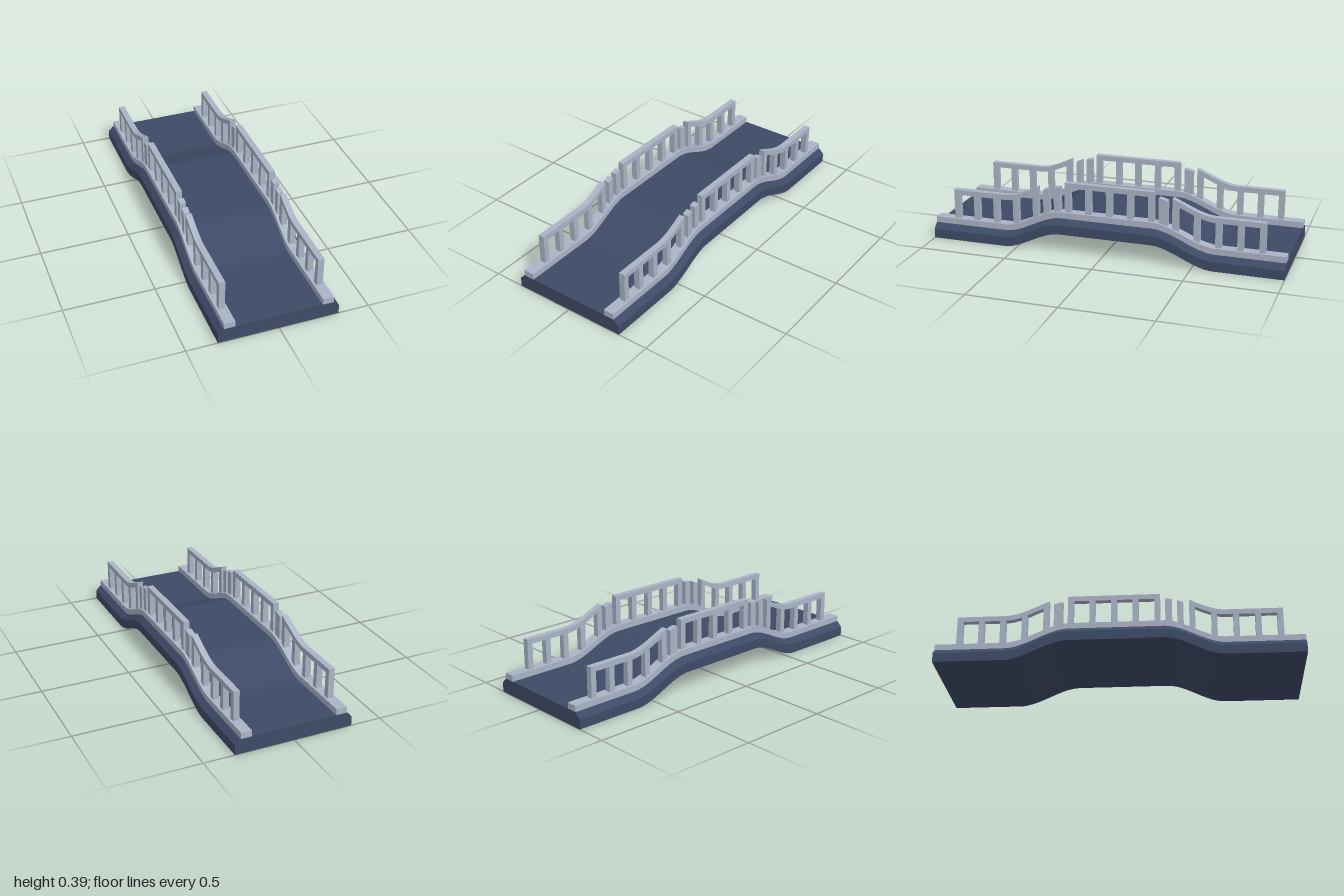
import * as THREE from 'three';
import { toCreasedNormals } from 'three/addons/utils/BufferGeometryUtils.js';

const RISE = 0.107;

// Height of the arch along the bridge: flat ends, eased ramps, flat crown.
function archHeight(z) {
  return RISE * (z > 0
    ? 1 - THREE.MathUtils.smoothstep(z, 0.245, 0.575)
    : THREE.MathUtils.smoothstep(z, -0.62, -0.27));
}

// Extrudes a cross-section (x, y) from z0 to z1 and lifts it along the arch.
function sweep(points, z0, z1) {
  const shape = new THREE.Shape(points.map(([x, y]) => new THREE.Vector2(x, y)));
  const steps = Math.max(2, Math.ceil((z1 - z0) * 40));
  const geometry = new THREE.ExtrudeGeometry(shape, { depth: z1 - z0, steps, bevelEnabled: false });
  geometry.translate(0, 0, z0);
  const pos = geometry.attributes.position;
  for (let i = 0; i < pos.count; i++) pos.setY(i, pos.getY(i) + archHeight(pos.getZ(i)));
  return toCreasedNormals(geometry, 0.5);
}

const rect = (x0, x1, y0, y1) => [[x0, y0], [x1, y0], [x1, y1], [x0, y1]];

export function createModel() {
  const deckBlue = new THREE.MeshStandardMaterial({ color: 0x3e4a66 });
  deckBlue.name = 'deck blue';
  const railGrey = new THREE.MeshStandardMaterial({ color: 0xaab4c6 });
  railGrey.name = 'rail grey';

  const bridge = new THREE.Group();
  bridge.name = 'bridge';
  const add = (parent, name, geometry, material) => {
    const mesh = new THREE.Mesh(geometry, material);
    mesh.name = name;
    parent.add(mesh);
  };

  // Deck with chamfered upper edges
  add(bridge, 'deck', sweep([
    [-0.33, 0], [0.33, 0], [0.33, 0.053], [0.3, 0.083], [-0.3, 0.083], [-0.33, 0.053],
  ], -1, 1), deckBlue);

  for (const side of [1, -1]) {
    const railing = new THREE.Group();
    railing.name = side > 0 ? 'leftRailing' : 'rightRailing';
    bridge.add(railing);
    const section = (inner, outer, y0, y1) =>
      side > 0 ? rect(inner, outer, y0, y1) : rect(-outer, -inner, y0, y1);
    const post = (z0, z1) =>
      add(railing, 'post', sweep(section(0.251, 0.285, 0.116, 0.257), z0, z1), railGrey);

    // Kerb running the whole length
    add(railing, 'kerb', sweep(section(0.238, 0.298, 0.083, 0.117), -1, 1), railGrey);

    // Three fence panels: a handrail over five evenly spaced posts
    for (const start of [-0.886, -0.279, 0.383]) {
      add(railing, 'handrail', sweep(section(0.251, 0.285, 0.256, 0.285), start, start + 0.505), railGrey);
      for (let i = 0; i < 5; i++) {
        const z = start + i * 0.1183;
        post(z, z + 0.032);
      }
    }

    // Loose posts in the gaps between the panels
    post(0.318, 0.352);
    post(0.253, 0.29);
    post(-0.355, -0.306);
  }
  return bridge;
}
